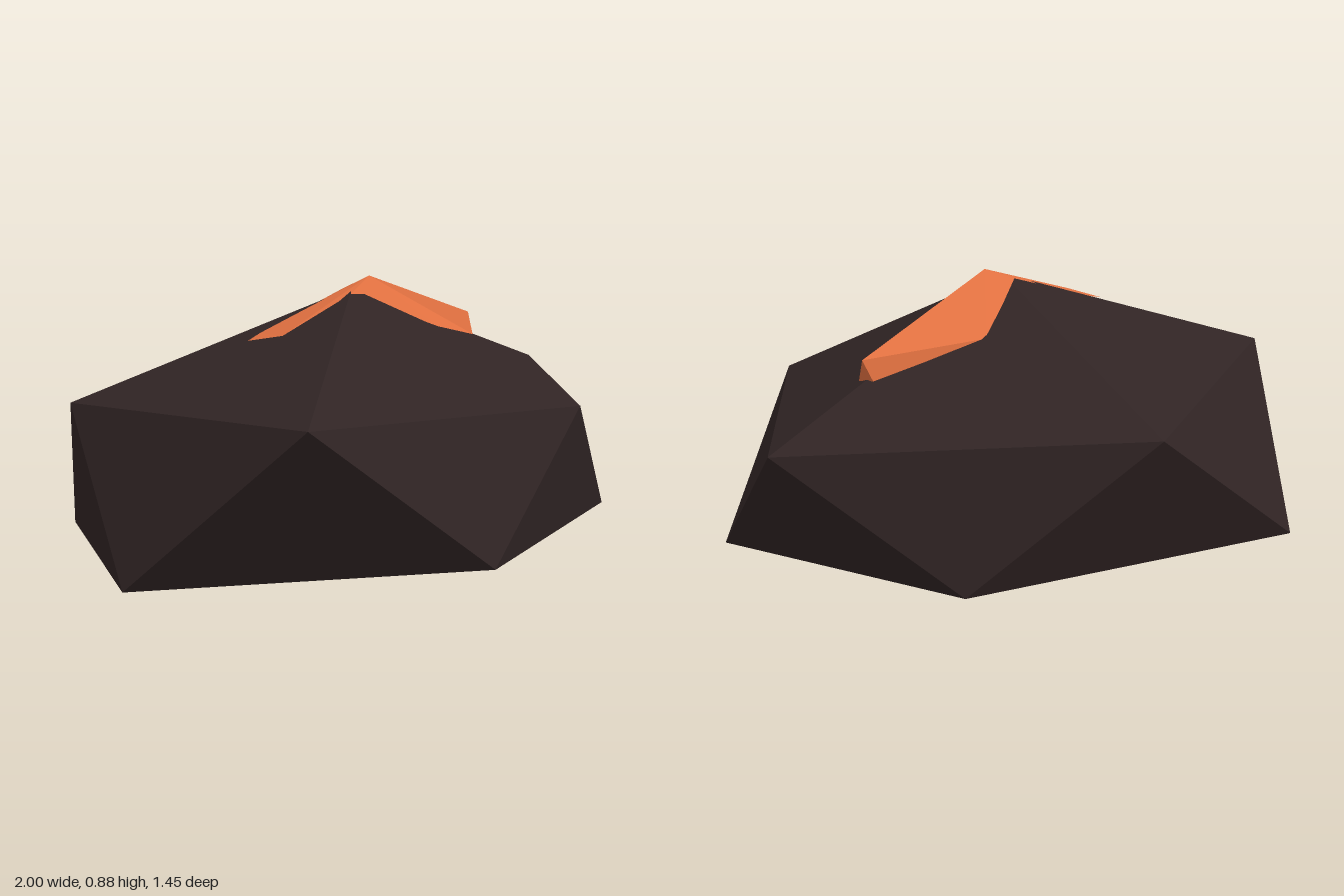
import * as THREE from 'three';

// Flat-shaded mesh from corner points and triangles
function facets(name, points, faces, material) {
  const geometry = new THREE.BufferGeometry();
  const corners = faces.flat().flatMap((i) => points[i]);
  geometry.setAttribute('position', new THREE.Float32BufferAttribute(corners, 3));
  geometry.computeVertexNormals();
  const mesh = new THREE.Mesh(geometry, material);
  mesh.name = name;
  return mesh;
}

export function createModel() {
  const stone = new THREE.MeshStandardMaterial({ color: 0x302424, flatShading: true });
  stone.name = 'dark stone';
  const glow = new THREE.MeshStandardMaterial({ color: 0xe07040, flatShading: true, side: THREE.DoubleSide });
  glow.name = 'molten orange';

  const model = new THREE.Group();
  model.name = 'lavaRock';

  // Boulder: irregular icosahedron with a peak, two rings of five and a base point
  const upper = [[1, 0.565, 0.06], [0.25, 0.53, 0.67], [-0.86, 0.58, 0.54], [-0.73, 0.565, -0.36], [0.31, 0.57, -0.69]];
  const lower = [[0.74, 0.16, 0.48], [-0.28, 0.16, 0.72], [-1, 0.145, 0.06], [-0.33, 0.13, -0.725], [0.69, 0.17, -0.33]];
  const rock = [...upper, ...lower, [0, 0.85, 0.06], [0, 0, 0.06]];
  const rockFaces = [];
  for (let i = 0; i < 5; i++) {
    const j = (i + 1) % 5;
    rockFaces.push([10, j, i], [i, j, 5 + i], [5 + i, j, 5 + j], [11, 5 + i, 5 + j]);
  }
  model.add(facets('boulder', rock, rockFaces, stone));

  // Wide vein: raised ridge running from the peak to the left edge
  const crest = [0.085, 0.88, 0.06];
  const wide = [
    crest, [0.625, 0.735, 0.06], [0.605, 0.668, 0.09], [0.24, 0.728, 0.198],
    [-0.04, 0.836, 0.085], [0, 0.842, 0.018], [0.26, 0.737, -0.08], [0.605, 0.675, 0.04],
  ];
  model.add(facets('wideVein', wide, [
    [0, 2, 1], [0, 3, 2], [0, 4, 3], [0, 6, 5], [0, 1, 6], [1, 7, 6], [1, 2, 7],
  ], glow));

  // Narrow vein: thin strip running from the peak to the right
  const narrow = [
    crest, [-0.04, 0.836, 0.085], [-0.335, 0.74, 0.065],
    [-0.36, 0.722, -0.037], [-0.3, 0.738, -0.042], [0, 0.842, 0.018],
  ];
  model.add(facets('narrowVein', narrow, [
    [0, 2, 1], [0, 4, 2], [2, 4, 3], [0, 5, 4],
  ], glow));

  return model;
}
